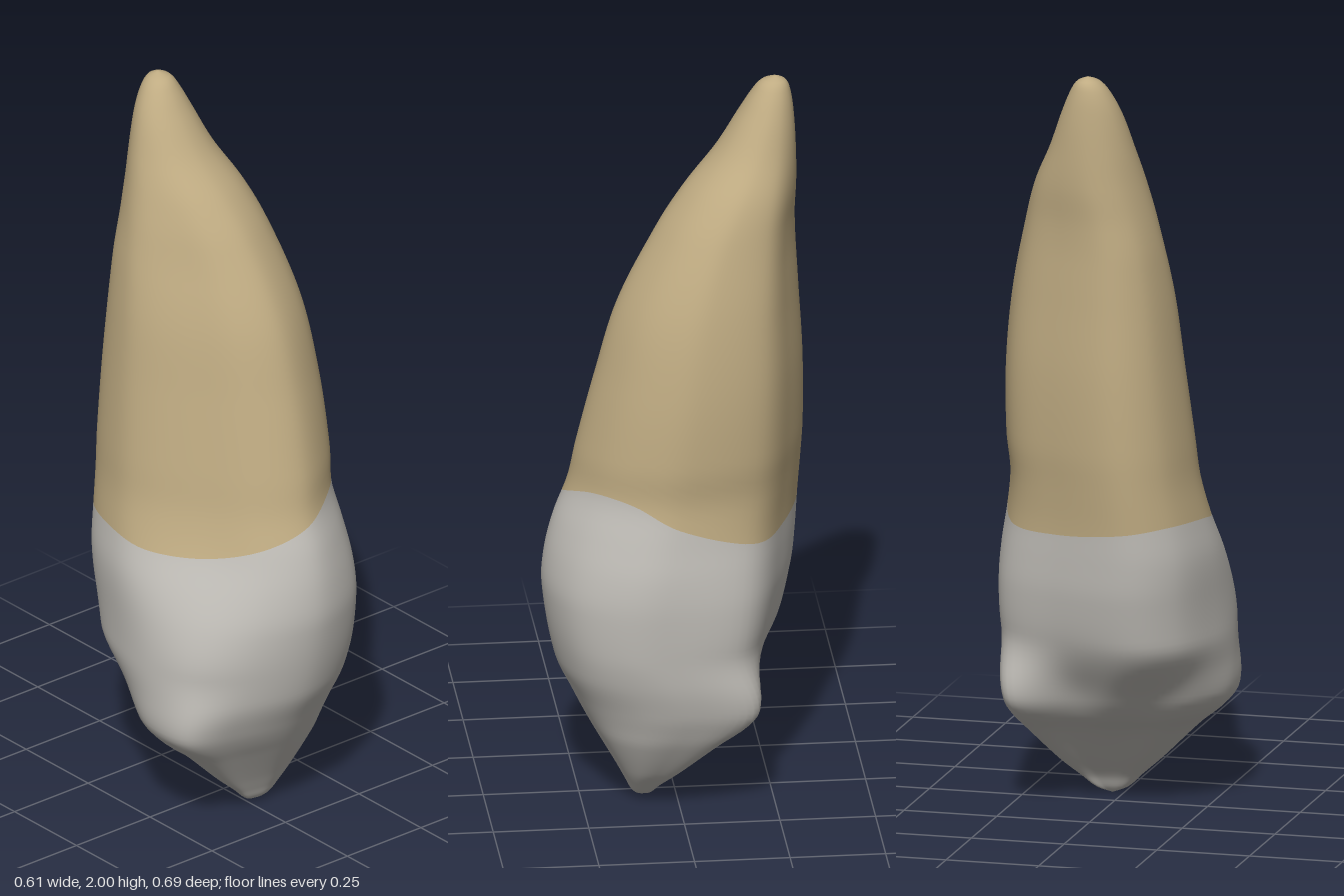
import * as THREE from 'three';

// Extents of the tooth by height: y, xMin, xMax, zMin, zMax
const LEVELS = [
  [0, 0.03, 0.03, 0.09, 0.09],
  [0.015, -0.008, 0.068, 0.07, 0.115],
  [0.05, -0.045, 0.107, 0.045, 0.134],
  [0.1, -0.1, 0.153, -0.005, 0.16],
  [0.2, -0.2, 0.22, -0.11, 0.217],
  [0.25, -0.26, 0.245, -0.175, 0.245],
  [0.3, -0.297, 0.265, -0.22, 0.27],
  [0.4, -0.307, 0.287, -0.265, 0.315],
  [0.6, -0.302, 0.305, -0.313, 0.35],
  [0.7, -0.293, 0.302, -0.325, 0.345],
  [0.8, -0.27, 0.286, -0.331, 0.322],
  [0.9, -0.25, 0.272, -0.338, 0.285],
  [1.0, -0.24, 0.28, -0.343, 0.265],
  [1.2, -0.218, 0.275, -0.341, 0.215],
  [1.4, -0.195, 0.25, -0.329, 0.155],
  [1.6, -0.16, 0.2, -0.318, 0.05],
  [1.7, -0.138, 0.165, -0.32, -0.02],
  [1.8, -0.112, 0.115, -0.318, -0.105],
  [1.9, -0.082, 0.075, -0.312, -0.168],
  [1.96, -0.053, 0.048, -0.303, -0.205],
  [1.988, -0.028, 0.028, -0.29, -0.23],
  [2, 0, 0, -0.265, -0.265],
];

// Outlines within the unit box, running from +x through +z, -x and -z
const CUSP = [[1, -0.2], [0.92, 0.38], [0.62, 0.82], [0.1, 1], [-0.48, 0.88], [-0.95, 0.66],
  [-1, 0.08], [-0.78, -0.4], [-0.45, -0.66], [-0.03, -0.78], [0.42, -0.84], [0.93, -0.92]];
const CROWN = [[1, 0.12], [0.9, 0.55], [0.62, 0.85], [0.1, 1], [-0.45, 0.86], [-0.85, 0.57],
  [-1, 0.16], [-0.95, -0.32], [-0.74, -0.8], [-0.33, -1], [0.3, -0.86], [0.87, -0.57]];
const ROOT = [[1, 0.08], [0.9, 0.5], [0.6, 0.82], [0.12, 1], [-0.33, 0.83], [-0.67, 0.44],
  [-0.95, 0], [-1, -0.36], [-0.82, -0.8], [-0.4, -1], [0.25, -0.84], [0.78, -0.55]];
const APEX = Array.from({ length: 12 }, (_, i) => [Math.cos(i * Math.PI / 6), Math.sin(i * Math.PI / 6)]);
const SHAPES = [[0.26, CUSP], [0.48, CROWN], [0.84, ROOT], [1.5, ROOT], [1.92, APEX]];

// Height of the neck line around the tooth
const NECK = [0.84, 0.9, 0.91, 0.87, 0.825, 0.79, 0.785, 0.8, 0.805, 0.79, 0.77, 0.775];

// Shallow hollows on the back of the crown: position around, height, depth
const HOLLOWS = [[9.8, 0.32, 0.1], [8.0, 0.28, 0.07]];

// Closed smooth interpolation through twelve values
function around(get, t) {
  const i = Math.floor(t), f = t - i;
  const [a, b, c, d] = [-1, 0, 1, 2].map((k) => get((i + k + 12) % 12));
  return b + 0.5 * f * (c - a + f * (2 * a - 5 * b + 4 * c - d + f * (3 * (b - c) + d - a)));
}

// Smooth interpolation of one column of LEVELS
function extent(col, y) {
  let i = 0;
  while (i < LEVELS.length - 2 && LEVELS[i + 1][0] < y) i++;
  const slope = (a, b) => (LEVELS[b][col] - LEVELS[a][col]) / (LEVELS[b][0] - LEVELS[a][0]);
  const m0 = slope(Math.max(i - 1, 0), i + 1);
  const m1 = slope(i, Math.min(i + 2, LEVELS.length - 1));
  const h = LEVELS[i + 1][0] - LEVELS[i][0], f = (y - LEVELS[i][0]) / h;
  const s = f * f * (3 - 2 * f);
  return LEVELS[i][col] * (1 - s) + LEVELS[i + 1][col] * s
    + h * f * (1 - f) * ((1 - f) * m0 - f * m1);
}

function surfacePoint(t, y) {
  let k = 0;
  while (k < SHAPES.length - 2 && SHAPES[k + 1][0] < y) k++;
  const s = THREE.MathUtils.smoothstep(y, SHAPES[k][0], SHAPES[k + 1][0]);
  const [u, v] = [0, 1].map((c) =>
    around((i) => SHAPES[k][1][i][c] * (1 - s) + SHAPES[k + 1][1][i][c] * s, t));
  let scale = 1;
  for (const [ht, hy, depth] of HOLLOWS) {
    scale -= depth * Math.exp(-(((t - ht) / 0.65) ** 2) - ((y - hy) / 0.1) ** 2);
  }
  const [x0, x1, z0, z1] = [1, 2, 3, 4].map((c) => extent(c, y));
  return [(x0 + x1) / 2 + u * scale * (x1 - x0) / 2, y, (z0 + z1) / 2 + v * scale * (z1 - z0) / 2];
}

export function createModel() {
  const SEG = 96, CROWN_ROWS = 56, ROOT_ROWS = 64, ROWS = CROWN_ROWS + ROOT_ROWS;

  // One continuous skin, so the shading runs smoothly over the neck
  const positions = [];
  for (let r = 1; r < ROWS; r++) {
    for (let j = 0; j < SEG; j++) {
      const t = j * 12 / SEG;
      const neck = around((i) => NECK[i], t);
      const y = r <= CROWN_ROWS
        ? neck * (r / CROWN_ROWS) ** 1.5
        : 2 - (2 - neck) * ((ROWS - r) / ROOT_ROWS) ** 1.5;
      positions.push(...surfacePoint(t, y));
    }
  }
  const bottom = positions.length / 3, top = bottom + 1;
  positions.push(0.03, 0, 0.09, 0, 2, -0.265);

  const crownIndex = [], rootIndex = [];
  const id = (r, j) => (r === 0 ? bottom : r === ROWS ? top : (r - 1) * SEG + j % SEG);
  for (let r = 0; r < ROWS; r++) {
    const list = r < CROWN_ROWS ? crownIndex : rootIndex;
    for (let j = 0; j < SEG; j++) {
      const a = id(r, j), b = id(r, j + 1), c = id(r + 1, j), d = id(r + 1, j + 1);
      if (r < ROWS - 1) list.push(a, c, d);
      else list.push(a, top, b);
      if (r > 0 && r < ROWS - 1) list.push(a, d, b);
    }
  }
  const skin = new THREE.BufferGeometry();
  skin.setAttribute('position', new THREE.Float32BufferAttribute(positions, 3));
  skin.setIndex([...crownIndex, ...rootIndex]);
  skin.computeVertexNormals();

  const enamel = new THREE.MeshStandardMaterial({ color: 0xc0bdb7 });
  enamel.name = 'enamel grey';
  const dentine = new THREE.MeshStandardMaterial({ color: 0xbfab82 });
  dentine.name = 'root tan';

  // Crown and root split along the neck line
  const group = new THREE.Group();
  group.name = 'tooth';
  for (const [name, index, material] of [['crown', crownIndex, enamel], ['root', rootIndex, dentine]]) {
    const geometry = skin.clone();
    geometry.setIndex(index);
    const mesh = new THREE.Mesh(geometry, material);
    mesh.name = name;
    group.add(mesh);
  }
  return group;
}
